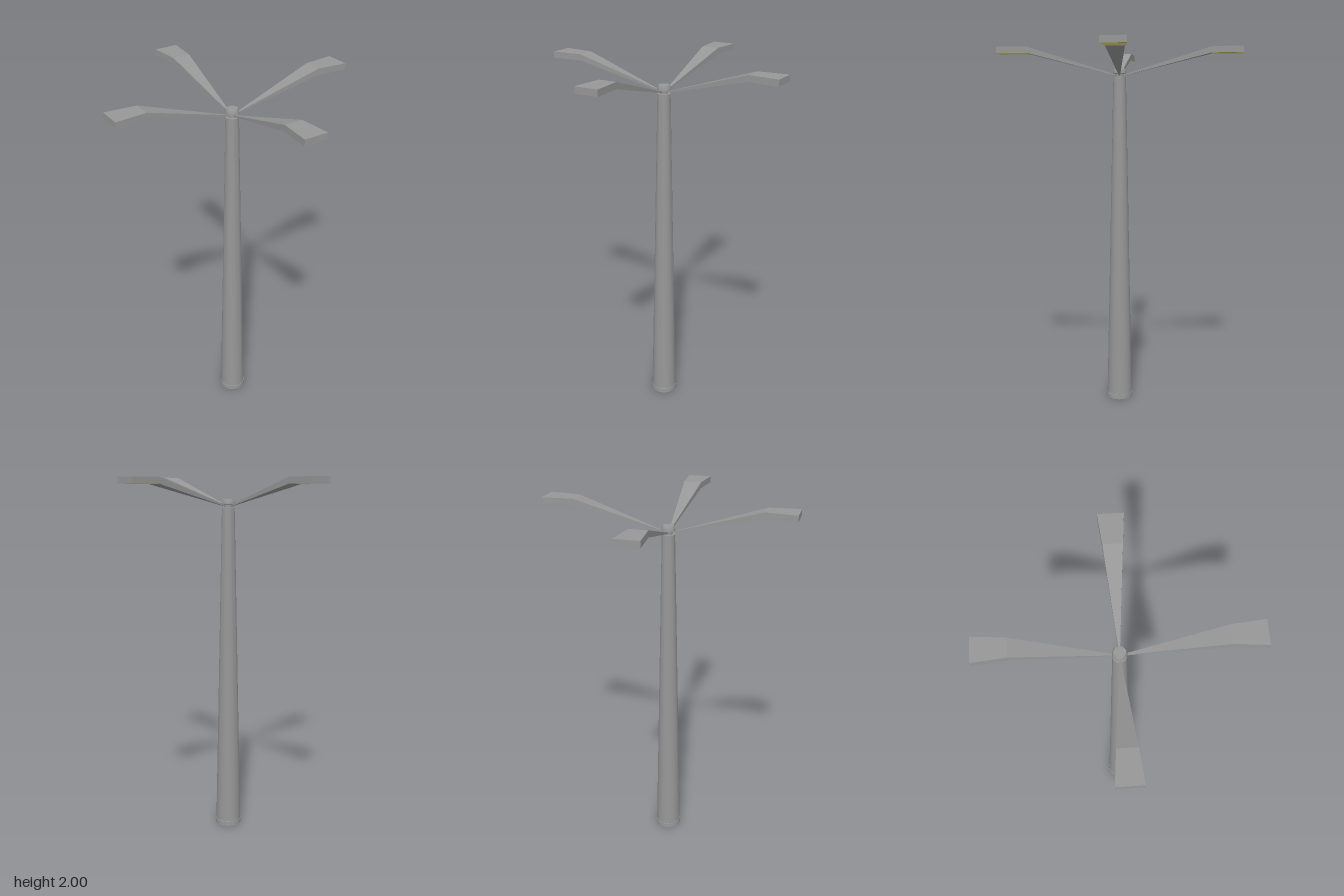
import * as THREE from 'three';
import { toCreasedNormals } from 'three/addons/utils/BufferGeometryUtils.js';

const metal = new THREE.MeshStandardMaterial({ color: 0x979797 });
const flatMetal = new THREE.MeshStandardMaterial({ color: 0x979797, flatShading: true });
const glow = new THREE.MeshStandardMaterial({ color: 0xe8e06c });

// Stations along an arm: [distance from axis, bottom y, top y, half width]
const STATIONS = [
  [0.01, 1.841, 1.848, 0.002],
  [0.505, 1.966, 2.0, 0.049],
  [0.674, 1.966, 2.0, 0.065],
];

function named(name, geometry, material) {
  const mesh = new THREE.Mesh(geometry, material);
  mesh.name = name;
  return mesh;
}

function turned(profile) {
  const points = profile.map(([r, y]) => new THREE.Vector2(r, y));
  return toCreasedNormals(new THREE.LatheGeometry(points, 32), 0.5);
}

// A box with one bend, widened and lifted to follow the stations
function armGeometry() {
  const geometry = new THREE.BoxGeometry(2, 2, 2, 2, 1, 1);
  const pos = geometry.attributes.position;
  for (let i = 0; i < pos.count; i++) {
    const [x, low, high, half] = STATIONS[Math.round(pos.getX(i)) + 1];
    pos.setXYZ(i, x, pos.getY(i) > 0 ? high : low, pos.getZ(i) * half);
  }
  geometry.computeVertexNormals();
  return geometry;
}

// Tapered light panel facing down under the level end of an arm
function panelGeometry() {
  const [, [x0, y, , w0], [x1, , , w1]] = STATIONS;
  const shape = new THREE.Shape([[x0, -w0], [x1, -w1], [x1, w1], [x0, w0]]
    .map(([x, z]) => new THREE.Vector2(x, z)));
  return new THREE.ShapeGeometry(shape).rotateX(Math.PI / 2).translate(0, y - 0.001, 0);
}

export function createModel() {
  const model = new THREE.Group();
  model.name = 'streetLamp';

  // Tapered pole with a slight foot
  model.add(named('pole', turned([
    [0, 0], [0.073, 0], [0.0725, 0.025], [0.0705, 0.026], [0.035, 1.838], [0, 1.838],
  ]), metal));

  // Neck and flat-topped cap where the arms meet
  model.add(named('cap', turned([
    [0, 1.836], [0.022, 1.836], [0.022, 1.855], [0.036, 1.858],
    [0.035, 1.872], [0.029, 1.884], [0, 1.885],
  ]), metal));

  // Four arms, each with its light panel
  const arm = armGeometry();
  const panel = panelGeometry();
  for (let i = 0; i < 4; i++) {
    const lamp = new THREE.Group();
    lamp.name = `lampArm${i + 1}`;
    lamp.add(named('arm', arm, flatMetal), named('lightPanel', panel, glow));
    lamp.rotation.y = i * Math.PI / 2;
    model.add(lamp);
  }
  return model;
}
